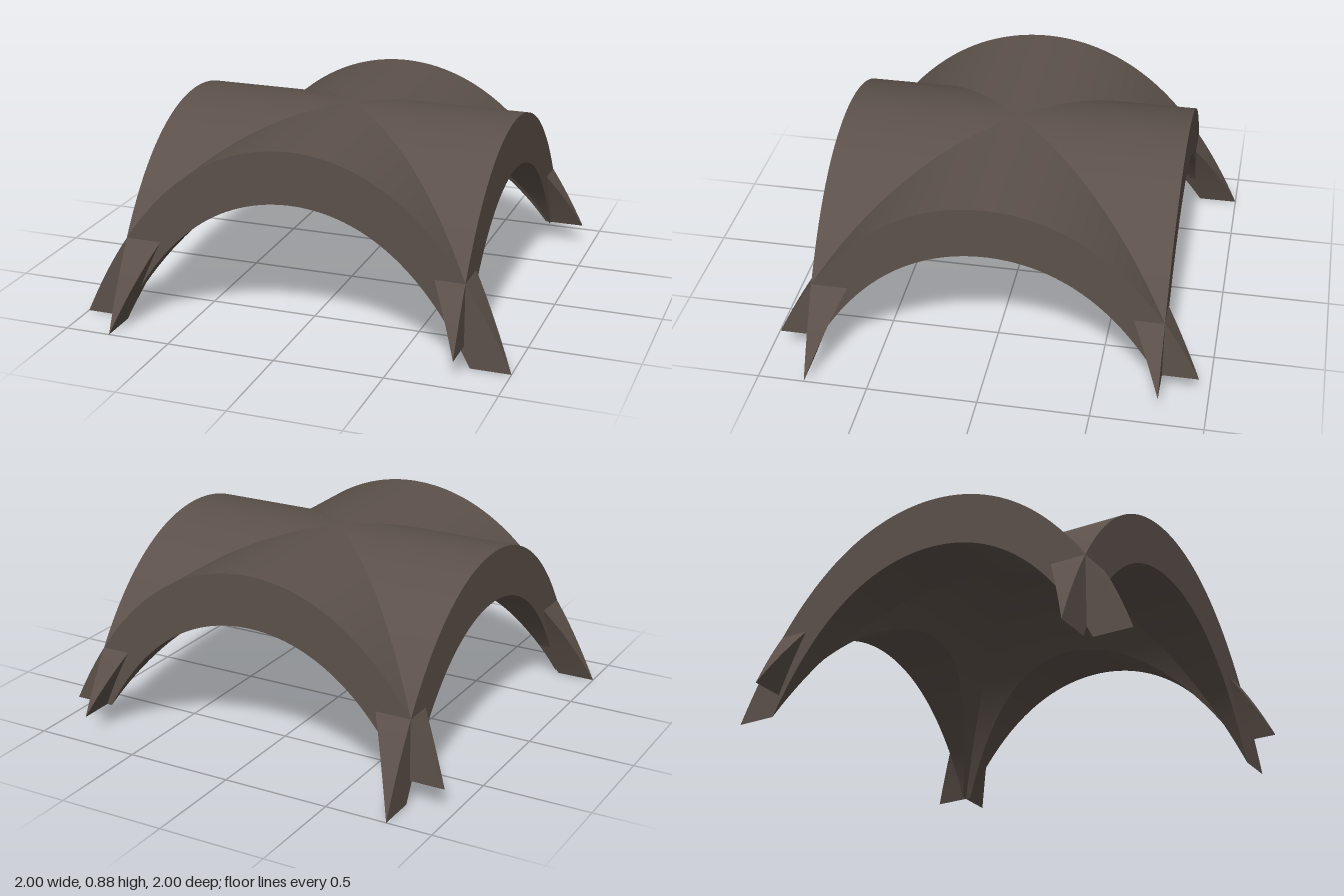
import * as THREE from 'three';
import { toCreasedNormals } from 'three/addons/utils/BufferGeometryUtils.js';

const HALF = 0.789; // distance from the centre to each open arch face
const STEPS = 30;
const BEND = 0.737; // share of the quadratic term in the arch curve

// Arch curve: height at x, and the half width of the arch at a given height
const arch = (rise, span) => ({
  rise,
  y: (x) => {
    const s = (x / span) ** 2;
    return rise * (1 - BEND * s - (1 - BEND) * s * s);
  },
  widthAt: (y) => {
    const drop = Math.max(0, 1 - y / rise);
    const q = 1 - BEND;
    return span * Math.sqrt((-BEND + Math.sqrt(BEND * BEND + 4 * q * drop)) / (2 * q));
  },
});
const outer = arch(0.877, 1);
const inner = arch(0.636, 0.817);

// One web of the vault: an arch built from level slices. Each slice starts
// further from the centre the lower it lies, which hollows out the inside.
function webGeometry(footY) {
  const footWidth = outer.widthAt(footY);
  const innerFoot = inner.widthAt(footY);
  const crownWidth = outer.widthAt(inner.rise);
  const slice = (xo, xi, y) => {
    const back = (HALF * xo) / footWidth;
    return { of: [xo, y, HALF], ob: [xo, y, back], nf: [xi, y, HALF], nb: [xi, y, back] };
  };
  const crown = [], legs = [];
  for (let i = 0; i <= STEPS; i++) {
    const xo = (crownWidth * i) / STEPS;
    crown.push(slice(xo, 0, outer.y(xo)));
    const xi = (innerFoot * i) / STEPS;
    const y = inner.y(xi);
    legs.push(slice(outer.widthAt(y), xi, y));
  }

  const positions = [];
  const triangle = (a, b, c) => {
    const mirror = ([x, y, z]) => [-x, y, z];
    positions.push(...a, ...b, ...c, ...mirror(a), ...mirror(c), ...mirror(b));
  };
  const quad = (a, b, c, d) => {
    triangle(a, b, c);
    triangle(a, c, d);
  };
  for (const part of [crown, legs]) {
    for (let i = 0; i < STEPS; i++) {
      const a = part[i], b = part[i + 1];
      quad(a.of, b.of, b.ob, a.ob); // roof
      quad(a.nf, b.nf, b.of, a.of); // arch face
      quad(a.ob, b.ob, b.nb, a.nb); // hollow inside
      if (part === legs) quad(a.nf, a.nb, b.nb, b.nf); // underside of the arch
    }
  }

  const geometry = new THREE.BufferGeometry();
  geometry.setAttribute('position', new THREE.Float32BufferAttribute(positions, 3));
  return toCreasedNormals(geometry, Math.PI / 7);
}

export function createModel() {
  const group = new THREE.Group();
  group.name = 'groinVault';
  const stone = new THREE.MeshStandardMaterial({ color: 0x5c514a });
  stone.name = 'darkStone';

  // Four webs around the centre; two of them stop short of the ground
  const webs = [
    ['frontWeb', 0, 0],
    ['leftWeb', Math.PI / 2, 0.1],
    ['backWeb', Math.PI, 0.1],
    ['rightWeb', -Math.PI / 2, 0],
  ];
  for (const [name, angle, footY] of webs) {
    const web = new THREE.Mesh(webGeometry(footY), stone);
    web.name = name;
    web.rotation.y = angle;
    group.add(web);
  }
  return group;
}
